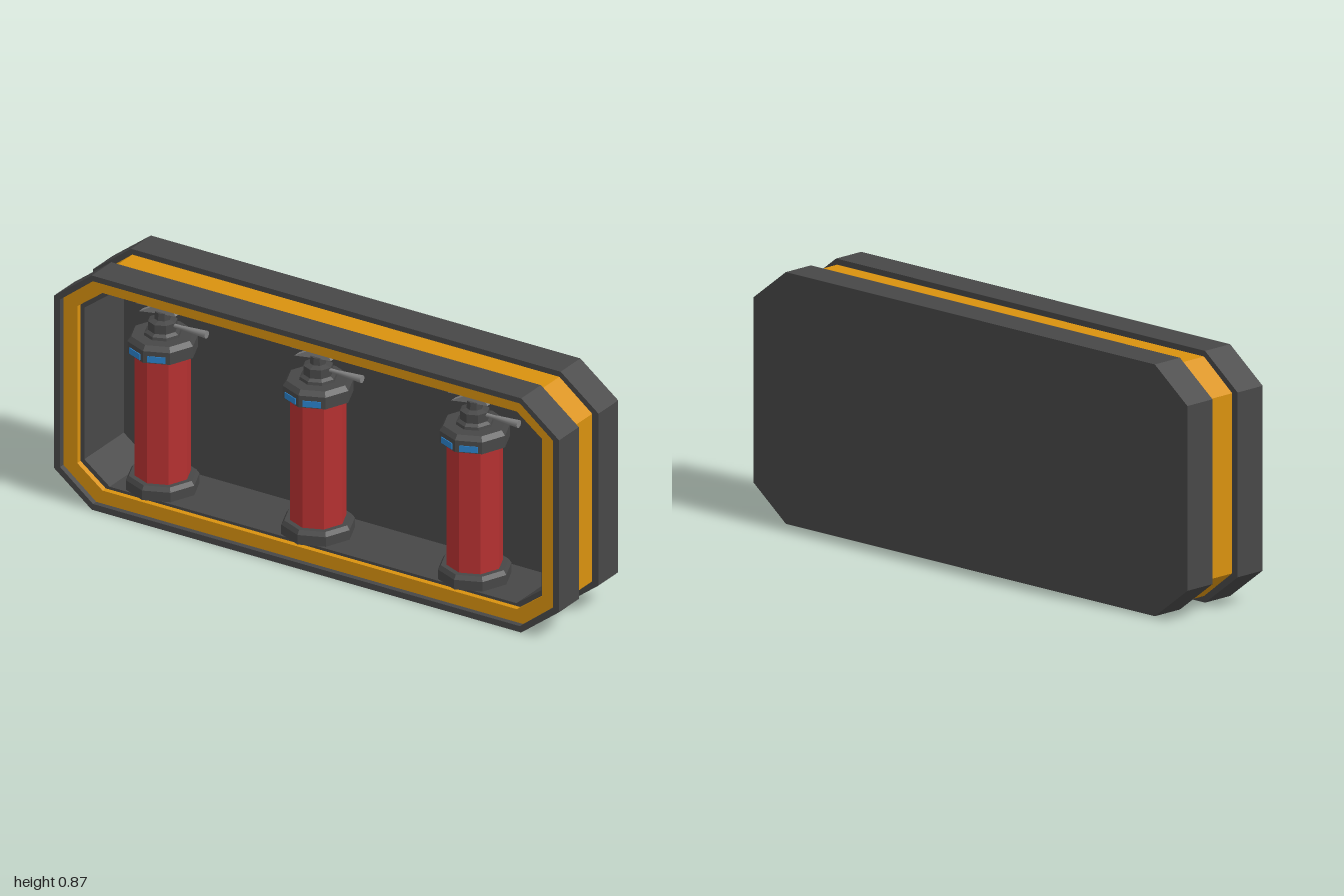
import * as THREE from 'three';

const mat = (name, color) => {
  const m = new THREE.MeshStandardMaterial({ color });
  m.name = name;
  return m;
};

export function createModel() {
  const charcoal = mat('charcoal', 0x474747);
  const amber = mat('amber', 0xd8910f);
  const red = mat('red', 0xb43030);
  const blue = mat('blue', 0x2a80c8);
  const grey = mat('grey', 0x828282);

  const model = new THREE.Group();
  model.name = 'extinguisherCabinet';

  const add = (parent, name, geometry, material, x = 0, y = 0, z = 0) => {
    const mesh = new THREE.Mesh(geometry, material);
    mesh.name = name;
    mesh.position.set(x, y, z);
    parent.add(mesh);
    return mesh;
  };

  // Chamfered rectangle: half width, bottom, top, chamfer width and height
  const octagon = ([w, y0, y1, cx, cy]) => [
    [w - cx, y0], [w, y0 + cy], [w, y1 - cy], [w - cx, y1],
    [cx - w, y1], [-w, y1 - cy], [-w, y0 + cy], [cx - w, y0],
  ].map(([x, y]) => new THREE.Vector2(x, y));

  const slab = (outer, hole, z0, z1) => {
    const shape = new THREE.Shape(octagon(outer));
    if (hole) shape.holes.push(new THREE.Path(octagon(hole)));
    return new THREE.ExtrudeGeometry(shape, { depth: z1 - z0, bevelEnabled: false }).translate(0, 0, z0);
  };

  // Cabinet
  const shell = [1, 0, 0.865, 0.15, 0.115];
  const band = [0.975, 0.022, 0.845, 0.13, 0.102];
  const opening = [0.92, 0.07, 0.8, 0.1, 0.075];
  const cavity = [0.905, 0.08, 0.79, 0.1, 0.075];
  add(model, 'backPanel', slab(shell, null, -0.18, -0.1), charcoal);
  add(model, 'backRim', slab(shell, band, -0.1, -0.06), charcoal);
  add(model, 'frontRim', slab(shell, band, 0.06, 0.18), charcoal);
  add(model, 'amberBand', slab(band, opening, -0.1, 0.16), amber);
  add(model, 'innerLiner', slab(opening, cavity, -0.1, 0.14), charcoal);

  // Eight-sided faceted lathe with a corner facing the front
  const facetedLathe = (profile) => {
    const g = new THREE.LatheGeometry(profile.map(([r, y]) => new THREE.Vector2(r, y)), 8).toNonIndexed();
    g.computeVertexNormals();
    return g;
  };

  const baseGeo = facetedLathe([[0, 0.08], [0.125, 0.08], [0.125, 0.115], [0.115, 0.13], [0, 0.13]]);
  const tankGeo = facetedLathe([[0, 0.12], [0.096, 0.12], [0.096, 0.6], [0, 0.6]]);
  const collarGeo = facetedLathe([[0, 0.585], [0.12, 0.585], [0.12, 0.628], [0.107, 0.645], [0, 0.645]]);
  const valveGeo = facetedLathe([
    [0.065, 0.64], [0.062, 0.655], [0.05, 0.663], [0.05, 0.695], [0.028, 0.702], [0.026, 0.728], [0, 0.728],
  ]);
  const markGeo = new THREE.BoxGeometry(0.062, 0.022, 0.006);

  // Tapered lever plate in side outline, extruded across z
  const lever = (points, width) => new THREE.ExtrudeGeometry(
    new THREE.Shape(points.map(([x, y]) => new THREE.Vector2(x, y))),
    { depth: width, bevelEnabled: false },
  ).translate(0, 0, -width / 2);
  const upperLeverGeo = lever([[-0.095, 0.738], [0, 0.742], [0.055, 0.765], [0.05, 0.775], [-0.01, 0.76]], 0.035);
  const lowerLeverGeo = lever([[-0.085, 0.71], [-0.02, 0.72], [0.06, 0.728], [0.055, 0.738], [-0.03, 0.742]], 0.03);
  const nozzleGeo = new THREE.CylinderGeometry(0.014, 0.008, 0.09, 8).rotateZ(-Math.PI / 2);
  const pipeGeo = new THREE.CylinderGeometry(0.007, 0.007, 0.07, 8).rotateZ(-Math.PI / 2);

  // Three extinguishers standing on the cabinet floor
  for (const x of [-0.66, -0.045, 0.575]) {
    const unit = new THREE.Group();
    unit.name = 'extinguisher';
    unit.position.set(x, 0, 0.04);
    model.add(unit);
    add(unit, 'base', baseGeo, charcoal);
    add(unit, 'tank', tankGeo, red);
    add(unit, 'collar', collarGeo, charcoal);
    add(unit, 'valve', valveGeo, charcoal);
    add(unit, 'upperLever', upperLeverGeo, grey);
    add(unit, 'lowerLever', lowerLeverGeo, grey);
    add(unit, 'pipe', pipeGeo, grey, 0.065, 0.686);
    add(unit, 'nozzle', nozzleGeo, grey, 0.13, 0.686);

    // Blue marks on the front and back facets of the collar
    for (const k of [-0.5, 0.5, 3.5, 4.5]) {
      const a = k * Math.PI / 4;
      add(unit, 'collarMark', markGeo, blue, Math.sin(a) * 0.111, 0.6, Math.cos(a) * 0.111).rotation.y = a;
    }
  }
  return model;
}
